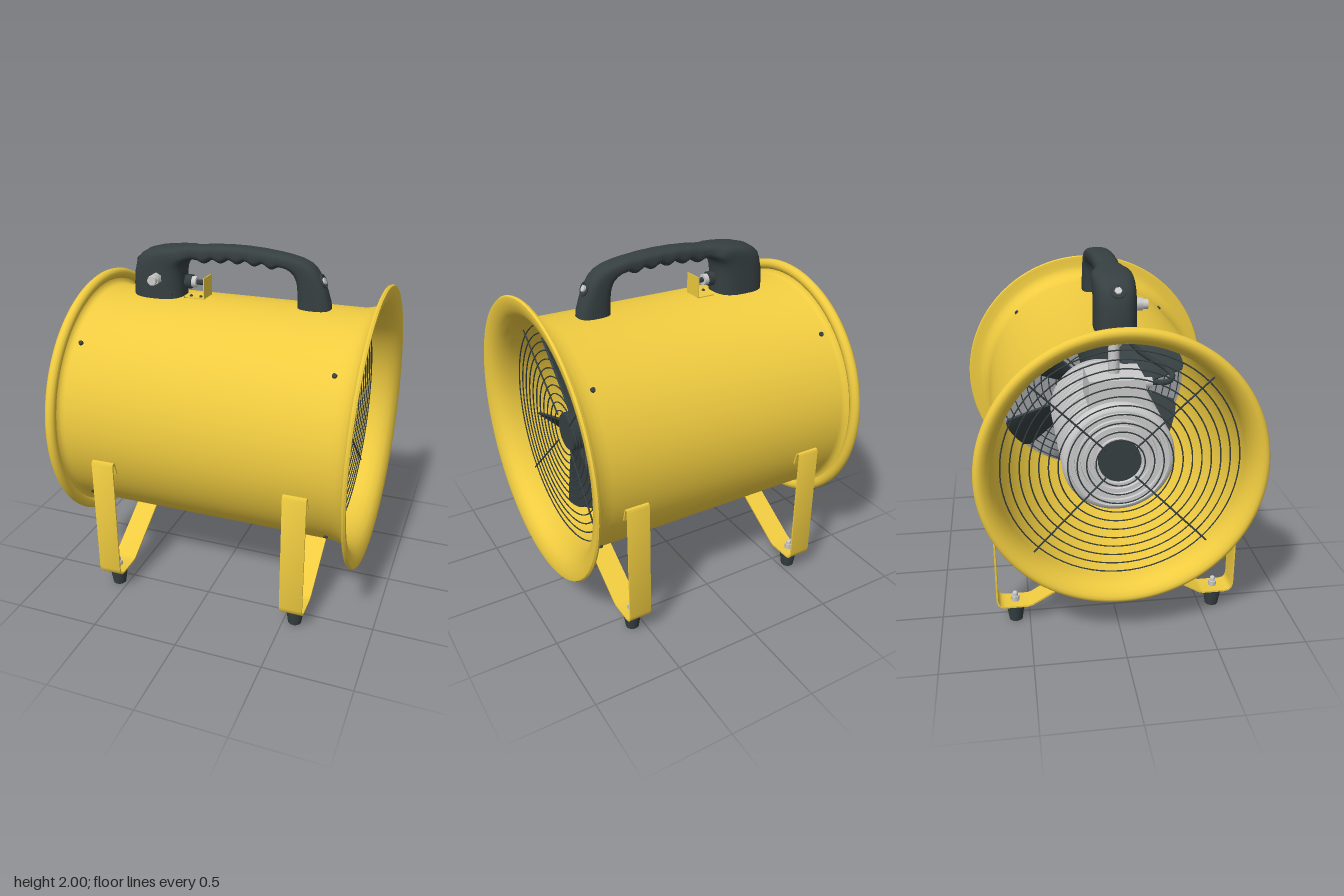
import * as THREE from 'three';
import { toCreasedNormals } from 'three/addons/utils/BufferGeometryUtils.js';

const mat = (color) => new THREE.MeshStandardMaterial({ color });
const YELLOW = mat(0xefcb40), DARK = mat(0x363f41), GREY = mat(0xcccccc);
const V2 = (p) => new THREE.Vector2(p[0], p[1]);
const AXIS_Y = 1.017;

function add(parent, name, geo, material, x = 0, y = 0, z = 0) {
  const m = new THREE.Mesh(geo, material);
  m.name = name;
  m.position.set(x, y, z);
  parent.add(m);
  return m;
}

// Lathe whose axis lies along x; points are [radius, x]
const latheX = (pts, seg = 96) =>
  toCreasedNormals(new THREE.LatheGeometry(pts.map(V2), seg).rotateZ(-Math.PI / 2), 0.7);
const cylX = (r, len, seg = 32) => new THREE.CylinderGeometry(r, r, len, seg).rotateZ(-Math.PI / 2);
const cylZ = (r, len, seg = 24) => new THREE.CylinderGeometry(r, r, len, seg).rotateX(Math.PI / 2);

// Skin over rounded sections; a station is [outerX, outerY, innerX, innerY, halfWidth]
function loft(stations, n = 32) {
  const pos = [], index = [];
  const round = (v) => Math.sign(v) * Math.pow(Math.abs(v), 0.72);
  stations.forEach(([ox, oy, ix, iy, w], i) => {
    for (let j = 0; j < n; j++) {
      const t = (j / n) * Math.PI * 2, c = round(Math.cos(t)) / 2;
      pos.push((ox + ix) / 2 + (ox - ix) * c, (oy + iy) / 2 + (oy - iy) * c, w * round(Math.sin(t)));
      if (i === 0) continue;
      const a = (i - 1) * n + j, b = (i - 1) * n + (j + 1) % n;
      index.push(a, b, a + n, b, b + n, a + n);
    }
  });
  const geo = new THREE.BufferGeometry();
  geo.setAttribute('position', new THREE.Float32BufferAttribute(pos, 3));
  geo.setIndex(index);
  geo.computeVertexNormals();
  return geo;
}

// Wire guard, dished slightly inwards from its rim
function addGrille(parent, x, dish, name) {
  const g = new THREE.Group();
  g.name = name;
  g.position.x = x;
  parent.add(g);
  const depth = (r) => dish * (1 - r / 0.665);
  for (let i = 0; i < 11; i++) {
    const r = 0.13 + i * 0.05;
    add(g, 'grilleRing', new THREE.TorusGeometry(r, 0.0038, 6, 72).rotateY(Math.PI / 2), DARK, depth(r));
  }
  for (let i = 0; i < 4; i++) {
    const a = Math.PI / 4 + i * Math.PI / 2;
    const wire = new THREE.LineCurve3(new THREE.Vector3(depth(0.11), 0.11, 0), new THREE.Vector3(0, 0.665, 0));
    add(g, 'grilleSpoke', new THREE.TubeGeometry(wire, 1, 0.005, 8).rotateX(a), DARK);
    add(g, 'grilleScrew', new THREE.CylinderGeometry(0.012, 0.015, 0.016, 12).translate(0, 0.675, 0).rotateX(a), DARK);
  }
}

// Pitched blade pointing up: u runs across the chord, v from root to tip
function bladeGeometry() {
  const geo = new THREE.BoxGeometry(2, 1, 1, 16, 12, 1);
  const p = geo.attributes.position;
  for (let i = 0; i < p.count; i++) {
    const u = p.getX(i), v = p.getY(i) + 0.5, t = p.getZ(i) * 0.014;
    const w = 0.045 + 0.113 * Math.pow(v, 0.8);
    const off = t - 0.025 * (1 - u * u);
    const r = 0.09 + v * 0.52 - v * (0.012 * u * u + 0.03 * Math.pow(u, 10));
    p.setXYZ(i, 0.125 * u + off * 0.75, r, -w * u + off * 0.65);
  }
  geo.computeVertexNormals();
  return toCreasedNormals(geo, 0.7);
}

function addFan(parent) {
  const fan = new THREE.Group();
  fan.name = 'fan';
  fan.position.x = 0.48;
  parent.add(fan);
  add(fan, 'fanHub', latheX([[0, -0.13], [0.113, -0.13], [0.113, 0.17], [0.105, 0.178], [0, 0.178]], 48), DARK);
  const geo = bladeGeometry();
  for (let i = 0; i < 6; i++) add(fan, 'fanBlade', geo, DARK).rotation.x = i * Math.PI / 3;
}

function addMotor(parent) {
  const motor = new THREE.Group();
  motor.name = 'motor';
  parent.add(motor);
  // Ribbed rear cover, cooling fins and tapered front
  const pts = [[0, -0.665]];
  for (let i = 0; i < 5; i++) {
    const r = 0.12 + i * 0.034;
    pts.push([r, -0.665], [r + 0.002, -0.65], [r + 0.016, -0.65], [r + 0.018, -0.665]);
  }
  pts.push([0.29, -0.66], [0.305, -0.64]);
  for (let i = 0; i < 14; i++) {
    const x = -0.6 + i * 0.055;
    pts.push([0.305, x], [0.265, x + 0.006], [0.265, x + 0.026], [0.305, x + 0.032]);
  }
  pts.push([0.29, 0.2], [0.22, 0.25], [0.1, 0.27], [0, 0.27]);
  add(motor, 'motorBody', latheX(pts, 64), GREY);
  add(motor, 'rearCap', cylX(0.115, 0.03, 40), DARK, -0.675);
  add(motor, 'motorShaft', cylX(0.04, 0.2, 20), GREY, 0.31);
  add(motor, 'terminalBox', new THREE.BoxGeometry(0.28, 0.17, 0.3), GREY, -0.45, 0.33, 0);
  add(motor, 'cableGland', cylZ(0.03, 0.06, 6), GREY, -0.45, 0.35, 0.18);
  const cable = new THREE.CatmullRomCurve3([[-0.45, 0.35, 0.2], [-0.45, 0.35, 0.3], [-0.42, 0.37, 0.33],
    [-0.36, 0.4, 0.3], [-0.32, 0.5, 0.15], [-0.3, 0.665, 0.04]].map((p) => new THREE.Vector3(...p)));
  add(motor, 'motorCable', new THREE.TubeGeometry(cable, 32, 0.016, 10), DARK);
  add(motor, 'topPost', new THREE.CylinderGeometry(0.03, 0.03, 0.26, 16), GREY, -0.45, 0.535, 0);
}

function addLeg(parent, x) {
  const leg = new THREE.Group();
  leg.name = 'legFrame';
  leg.position.x = x;
  parent.add(leg);
  // Bent strap: centre line in [z, y], hooked over at the top, thickened along its normals
  const path = [[0.64, 0.79], [0.653, 0.84], [0.66, 0.864], [0.668, 0.87], [0.677, 0.869], [0.682, 0.858],
    [0.682, 0.16], [0.675, 0.135], [0.66, 0.12], [0.635, 0.115], [0.51, 0.115], [0.485, 0.122],
    [0.14, 0.328], [0.11, 0.34], [0, 0.344]].map(V2);
  const side = (s) => path.map((p, i) => {
    const d = path[Math.min(i + 1, path.length - 1)].clone().sub(path[Math.max(i - 1, 0)]).normalize();
    return new THREE.Vector2(p.x - d.y * 0.005 * s, p.y + d.x * 0.005 * s);
  });
  const shape = new THREE.Shape([...side(1), ...side(-1).reverse()]);
  const strap = toCreasedNormals(new THREE.ExtrudeGeometry(shape, { depth: 0.132, bevelEnabled: false })
    .translate(0, 0, -0.066).rotateY(-Math.PI / 2), 0.7);
  for (const a of [0, Math.PI]) {
    const half = new THREE.Group();
    half.name = 'legHalf';
    half.rotation.y = a;
    leg.add(half);
    add(half, 'legStrap', strap, YELLOW);
    add(half, 'rubberFoot', new THREE.CylinderGeometry(0.054, 0.038, 0.109, 32), DARK, 0, 0.0545, 0.58);
    add(half, 'footNut', new THREE.CylinderGeometry(0.024, 0.024, 0.03, 6), GREY, 0, 0.135, 0.58);
    add(half, 'footBolt', new THREE.CapsuleGeometry(0.015, 0.03, 4, 12), GREY, 0, 0.15, 0.58);
  }
}

function addHandle(parent) {
  const handle = new THREE.Group();
  handle.name = 'handle';
  parent.add(handle);

  // Wide switch housing at the rear, narrowing into the grip
  const stations = [
    [-0.625, 1.67, -0.315, 1.67, 0.11], [-0.624, 1.75, -0.315, 1.74, 0.11], [-0.617, 1.82, -0.315, 1.775, 0.11],
    [-0.602, 1.88, -0.314, 1.805, 0.11], [-0.575, 1.92, -0.312, 1.83, 0.11], [-0.53, 1.95, -0.31, 1.85, 0.11],
    [-0.46, 1.968, -0.305, 1.868, 0.11], [-0.39, 1.976, -0.297, 1.884, 0.109], [-0.345, 1.981, -0.288, 1.893, 0.102],
    [-0.305, 1.985, -0.275, 1.9, 0.085], [-0.265, 1.988, -0.255, 1.905, 0.073]];
  // Finger scallops along the underside
  for (let i = 0; i <= 40; i++) {
    const k = i / 40, x = -0.235 + 0.495 * k;
    const scallop = 1.893 + 0.016 * Math.sin(Math.PI * k) + 0.011 * Math.cos(k * 10 * Math.PI);
    stations.push([x, 2 - 0.28 * x * x, x, scallop, 0.068]);
  }
  // Front leg of the handle
  stations.push([0.32, 1.971, 0.295, 1.897, 0.068], [0.38, 1.957, 0.32, 1.883, 0.068], [0.43, 1.935, 0.337, 1.865, 0.068],
    [0.465, 1.905, 0.348, 1.845, 0.068], [0.495, 1.86, 0.356, 1.82, 0.068], [0.525, 1.795, 0.361, 1.775, 0.068],
    [0.548, 1.725, 0.363, 1.72, 0.068], [0.555, 1.67, 0.363, 1.67, 0.068]);
  add(handle, 'grip', loft(stations), DARK);

  // Side fitting and the bolts at both ends
  add(handle, 'sideNut', cylZ(0.034, 0.05, 6), GREY, -0.45, 1.8, 0.125);
  add(handle, 'sideCap', cylZ(0.026, 0.03), GREY, -0.45, 1.8, 0.162);
  add(handle, 'housingScrew', cylZ(0.014, 0.01, 12), DARK, -0.37, 1.715, 0.108);
  for (const [x, y, tilt] of [[-0.585, 1.9, 0.8], [0.503, 1.842, -1.15]]) {
    const bolt = new THREE.Group();
    bolt.name = 'handleBolt';
    bolt.position.set(x, y, 0);
    bolt.rotation.z = tilt;
    handle.add(bolt);
    add(bolt, 'boltCollar', new THREE.TorusGeometry(0.036, 0.006, 8, 24).rotateX(Math.PI / 2), DARK);
    add(bolt, 'boltHead', new THREE.CylinderGeometry(0.02, 0.02, 0.02, 6), GREY);
  }

  // Cable gland and its angle bracket
  add(handle, 'glandNut', cylX(0.042, 0.04, 6), DARK, -0.29, 1.77);
  add(handle, 'glandCap', cylX(0.032, 0.03, 20), GREY, -0.258, 1.77);
  add(handle, 'cableStub', cylX(0.015, 0.1, 16), DARK, -0.24, 1.77);
  add(handle, 'bracketPlate', new THREE.BoxGeometry(0.006, 0.125, 0.12), YELLOW, -0.18, 1.746);
  add(handle, 'bracketBase', new THREE.BoxGeometry(0.11, 0.008, 0.12), YELLOW, -0.232, 1.688);
  for (const x of [-0.27, -0.21]) add(handle, 'bracketRivet', new THREE.SphereGeometry(0.01, 12, 8), DARK, x, 1.692, 0.03);
}

export function createModel() {
  const model = new THREE.Group();
  model.name = 'portableFan';

  const body = new THREE.Group();
  body.name = 'fanBody';
  body.position.y = AXIS_Y;
  model.add(body);

  // Tube wall with a rolled rear bead and flared front mouth, as one closed profile
  add(body, 'tube', latheX([
    [0.672, -0.79], [0.677, -0.808], [0.69, -0.822], [0.704, -0.826], [0.712, -0.815], [0.724, -0.807],
    [0.738, -0.805], [0.753, -0.81], [0.763, -0.822], [0.766, -0.835], [0.763, -0.849], [0.753, -0.861],
    [0.738, -0.865], [0.722, -0.86], [0.7, -0.845], [0.68, -0.815], [0.667, -0.78], [0.662, -0.74],
    [0.662, 0.68], [0.668, 0.74], [0.682, 0.785], [0.705, 0.82], [0.735, 0.842], [0.77, 0.853], [0.795, 0.858],
    [0.808, 0.857], [0.815, 0.847], [0.81, 0.836], [0.79, 0.833], [0.75, 0.833], [0.725, 0.824], [0.703, 0.803],
    [0.686, 0.772], [0.676, 0.735], [0.672, 0.7], [0.672, -0.79],
  ].reverse(), 128), YELLOW);

  addGrille(body, 0.695, -0.03, 'frontGrille');
  addGrille(body, -0.755, 0.05, 'rearGrille');
  addFan(body);
  addMotor(body);
  addLeg(model, -0.558);
  addLeg(model, 0.564);
  addHandle(model);
  return model;
}
